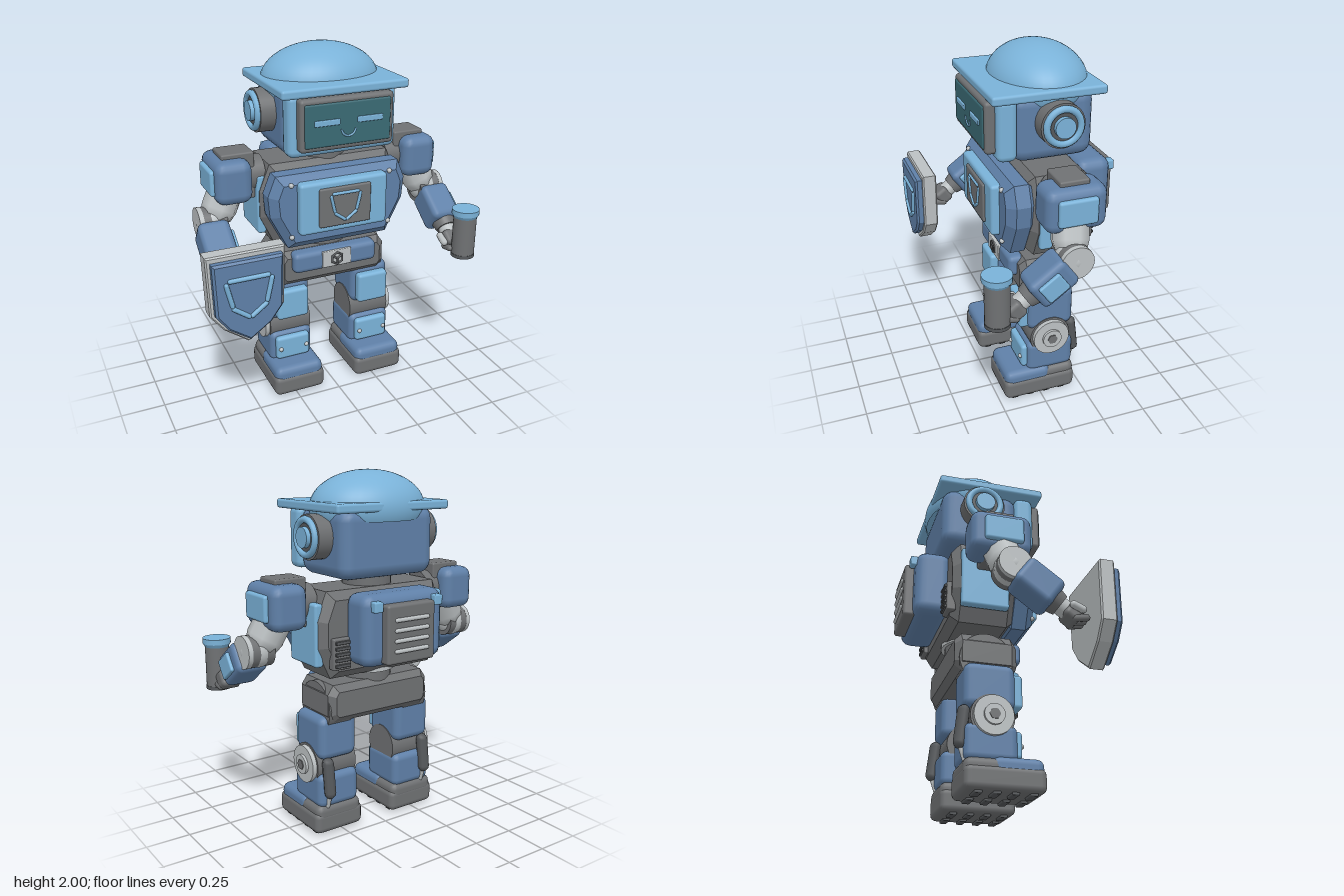
import * as THREE from 'three';
import { RoundedBoxGeometry } from 'three/addons/geometries/RoundedBoxGeometry.js';

const mat = (name, color, side = THREE.FrontSide) => {
  const m = new THREE.MeshStandardMaterial({ color, side });
  m.name = name;
  return m;
};

export function createModel() {
  const sky = mat('light blue', 0x7ab2d8, THREE.DoubleSide);
  const blue = mat('steel blue', 0x5f80a8);
  const gray = mat('gray', 0x6f7173);
  const silver = mat('silver', 0xbcc1c3);
  const teal = mat('screen teal', 0x3a6a74);
  const dark = mat('dark gray', 0x55585b);

  const root = new THREE.Group();
  root.name = 'robot';
  const body = new THREE.Group();
  body.name = 'robotBody';
  body.position.x = 0.025;
  root.add(body);

  const add = (parent, name, geo, m, x = 0, y = 0, z = 0) => {
    const mesh = new THREE.Mesh(geo, m);
    mesh.name = name;
    mesh.position.set(x, y, z);
    parent.add(mesh);
    return mesh;
  };
  // rounded box given by its min and max on each axis
  const box = (parent, name, m, x0, x1, y0, y1, z0, z1, r = 0.02) =>
    add(parent, name, new RoundedBoxGeometry(x1 - x0, y1 - y0, z1 - z0, 2, r), m,
      (x0 + x1) / 2, (y0 + y1) / 2, (z0 + z1) / 2);
  const cyl = (parent, name, m, r, h, x, y, z, axis = 'y', r2 = r, seg = 28) => {
    const g = new THREE.CylinderGeometry(r, r2, h, seg);
    if (axis === 'x') g.rotateZ(-Math.PI / 2);
    if (axis === 'z') g.rotateX(Math.PI / 2);
    return add(parent, name, g, m, x, y, z);
  };
  const ball = (parent, name, m, r, x, y, z) =>
    add(parent, name, new THREE.SphereGeometry(r, 20, 14), m, x, y, z);
  // thin round bar between two points
  const rod = (parent, name, m, a, b, r) => {
    const p = new THREE.Vector3(...a), q = new THREE.Vector3(...b);
    const mesh = add(parent, name, new THREE.CapsuleGeometry(r, p.distanceTo(q), 3, 8), m);
    mesh.position.copy(p).lerp(q, 0.5);
    mesh.quaternion.setFromUnitVectors(new THREE.Vector3(0, 1, 0), q.sub(p).normalize());
    return mesh;
  };
  // bevelled plate, outline given by its right half from top to bottom
  const plate = (parent, name, m, half, z0, z1, bevel, x = 0) => {
    const pts = [...half, ...half.filter(p => p[0] > 0).reverse().map(p => [-p[0], p[1]])];
    const g = new THREE.ExtrudeGeometry(new THREE.Shape(pts.map(p => new THREE.Vector2(...p))), {
      depth: z1 - z0 - 2 * bevel, bevelEnabled: bevel > 0, bevelSize: bevel,
      bevelThickness: bevel, bevelOffset: -bevel, bevelSegments: 1 });
    return add(parent, name, g, m, x, 0, z0 + bevel);
  };
  // shield-shaped outline of bars
  const crest = (parent, x, y, z, s, r) => {
    const line = (a, b) => rod(parent, 'crestBar', sky, [x + a[0] * s, y + a[1] * s, z], [x + b[0] * s, y + b[1] * s, z], r);
    line([-0.1, 0.11], [0.1, 0.11]);
    for (const k of [-1, 1]) {
      line([k * 0.12, 0.09], [k * 0.092, -0.03]);
      line([k * 0.085, -0.05], [k * 0.01, -0.105]);
    }
  };

  // ---- head ----
  const head = new THREE.Group();
  head.name = 'head';
  body.add(head);
  box(head, 'skull', blue, -0.3, 0.3, 1.44, 1.81, -0.315, 0.13, 0.07);
  box(head, 'faceFrame', sky, -0.31, 0.31, 1.465, 1.8, 0.11, 0.22, 0.035);
  box(head, 'faceBezel', gray, -0.267, 0.267, 1.505, 1.785, 0.2, 0.272, 0.02);
  box(head, 'screen', teal, -0.245, 0.245, 1.53, 1.76, 0.255, 0.28, 0.01);
  for (const s of [-1, 1])
    box(head, 'eye', sky, s * 0.122 - 0.073, s * 0.122 + 0.073, 1.643, 1.675, 0.272, 0.288, 0.006);
  const smile = add(head, 'smile', new THREE.TorusGeometry(0.04, 0.006, 6, 16, Math.PI), sky, 0, 1.618, 0.281);
  smile.rotation.z = Math.PI;
  box(head, 'capBrim', sky, -0.36, 0.36, 1.79, 1.84, -0.352, 0.262, 0.015);
  const dome = new THREE.SphereGeometry(1, 40, 20, 0, Math.PI * 2, 0, Math.PI * 0.6);
  dome.scale(0.335, 0.2, 0.262);
  add(head, 'capDome', dome, sky, 0, 1.8, -0.1);
  for (const s of [-1, 1]) {
    cyl(head, 'earCup', gray, 0.12, 0.1, s * 0.335, 1.66, -0.1, 'x');
    const ring = add(head, 'earRing', new THREE.TorusGeometry(0.092, 0.019, 10, 32), sky, s * 0.392, 1.66, -0.1);
    ring.rotation.y = Math.PI / 2;
    cyl(head, 'earCore', dark, 0.085, 0.03, s * 0.38, 1.66, -0.1, 'x');
    cyl(head, 'earButton', sky, 0.055, 0.06, s * 0.39, 1.66, -0.1, 'x');
  }
  cyl(body, 'neck', gray, 0.137, 0.07, 0, 1.405, -0.09);
  cyl(body, 'neckCollar', dark, 0.105, 0.1, 0, 1.42, -0.09);

  // ---- torso ----
  plate(body, 'torso', gray, [[0.355, 1.39], [0.415, 1.24], [0.415, 1.09], [0.335, 0.92]], -0.275, 0.08, 0.045);
  plate(body, 'chestPlate', blue, [[0.365, 1.36], [0.41, 1.25], [0.4, 1.13], [0.3, 0.935]], 0.03, 0.2, 0.045);
  box(body, 'chestPanel', sky, -0.26, 0.26, 1.03, 1.325, 0.16, 0.245, 0.02);
  box(body, 'chestBadge', gray, -0.153, 0.153, 1.065, 1.29, 0.2, 0.258, 0.01);
  crest(body, 0, 1.175, 0.259, 0.72, 0.009);
  for (const s of [-1, 1]) {
    for (const y of [1.315, 1.015]) ball(body, 'chestScrew', silver, 0.014, s * 0.293, y, 0.198);
    box(body, 'sidePanel', sky, s * 0.4 - 0.025, s * 0.4 + 0.025, 0.99, 1.33, -0.235, 0.03, 0.015);
    // rear vents
    box(body, 'rearVent', gray, s * 0.3 - 0.055, s * 0.3 + 0.055, 0.98, 1.15, -0.3, -0.25, 0.008);
    for (let i = 0; i < 5; i++)
      box(body, 'ventSlat', dark, s * 0.3 - 0.045, s * 0.3 + 0.045, 0.994 + i * 0.031, 1.012 + i * 0.031, -0.312, -0.29, 0.004);
  }

  // ---- backpack ----
  box(body, 'backpack', blue, -0.26, 0.26, 1, 1.385, -0.45, -0.25, 0.06);
  box(body, 'backpackPanel', gray, -0.155, 0.155, 1.02, 1.335, -0.5, -0.43, 0.015);
  for (let i = 0; i < 4; i++)
    rod(body, 'backpackSlat', silver, [-0.1, 1.09 + i * 0.055, -0.502], [0.1, 1.09 + i * 0.055, -0.502], 0.012);
  for (const s of [-1, 1])
    box(body, 'backpackClip', sky, s * 0.195 - 0.027, s * 0.195 + 0.027, 1.3, 1.355, -0.48, -0.43, 0.008);

  // ---- waist and pelvis ----
  cyl(body, 'waistRing', silver, 0.165, 0.04, 0, 0.93, -0.08);
  cyl(body, 'waist', gray, 0.145, 0.08, 0, 0.885, -0.08);
  plate(body, 'pelvis', gray, [[0.3, 0.87], [0.335, 0.82], [0.335, 0.7], [0.3, 0.66]], -0.24, 0.1, 0.035);
  box(body, 'belt', blue, -0.257, 0.257, 0.75, 0.872, 0.05, 0.145, 0.03);
  box(body, 'buckle', silver, -0.09, 0.09, 0.765, 0.863, 0.12, 0.153, 0.005);
  const hex = add(body, 'buckleHexagon', new THREE.TorusGeometry(0.036, 0.007, 6, 6), dark, 0, 0.813, 0.154);
  hex.rotation.z = Math.PI / 6;
  for (let i = 0; i < 3; i++) {
    const a = Math.PI / 6 + i * Math.PI * 2 / 3;
    rod(body, 'buckleSpoke', dark, [0, 0.813, 0.154], [0.033 * Math.cos(a), 0.813 + 0.033 * Math.sin(a), 0.154], 0.006);
  }

  // ---- legs ----
  for (const s of [-1, 1]) {
    const leg = new THREE.Group();
    leg.name = s > 0 ? 'leftLeg' : 'rightLeg';
    leg.position.x = s * 0.257;
    body.add(leg);
    cyl(leg, 'hip', gray, 0.145, 0.15, 0, 0.725, -0.075, 'x');
    box(leg, 'thigh', blue, -0.12, 0.12, 0.44, 0.69, -0.2, 0.075, 0.045);
    box(leg, 'thighPlate', sky, -0.095, 0.095, 0.46, 0.645, 0.04, 0.118, 0.02);
    cyl(leg, 'knee', gray, 0.118, 0.25, 0, 0.395, -0.055, 'x');
    cyl(leg, 'kneeCap', silver, 0.106, 0.03, s * 0.135, 0.395, -0.055, 'x');
    cyl(leg, 'kneeDisc', silver, 0.055, 0.03, s * 0.15, 0.395, -0.055, 'x');
    cyl(leg, 'kneeNut', gray, 0.03, 0.03, s * 0.155, 0.395, -0.055, 'x', 0.03, 6);
    box(leg, 'shin', blue, -0.13, 0.13, 0.16, 0.36, -0.2, 0.08, 0.04);
    box(leg, 'shinPlate', sky, -0.103, 0.103, 0.19, 0.335, 0.04, 0.108, 0.02);
    for (const k of [-1, 1]) ball(leg, 'shinScrew', silver, 0.013, k * 0.08, 0.26, 0.108);
    // calf piston
    rod(leg, 'pistonBody', dark, [s * 0.075, 0.26, -0.215], [s * 0.075, 0.425, -0.195], 0.034);
    rod(leg, 'pistonRod', silver, [s * 0.075, 0.16, -0.185], [s * 0.075, 0.25, -0.215], 0.013);
    // foot
    box(leg, 'foot', gray, -0.155, 0.155, 0.012, 0.14, -0.205, 0.22, 0.035);
    box(leg, 'heel', gray, -0.145, 0.145, 0.08, 0.18, -0.205, 0, 0.04);
    box(leg, 'toeCap', blue, -0.147, 0.147, 0.085, 0.19, -0.06, 0.213, 0.04);
    for (const k of [-1, 1]) for (let i = 0; i < 4; i++)
      box(leg, 'tread', dark, k * 0.08 - 0.05, k * 0.08 + 0.05, 0, 0.03, -0.15 + i * 0.095, -0.11 + i * 0.095, 0.006);
  }

  // ---- arms ----
  for (const s of [-1, 1]) {
    const arm = new THREE.Group();
    arm.name = s > 0 ? 'leftArm' : 'rightArm';
    body.add(arm);
    cyl(arm, 'shoulderJoint', gray, 0.1, 0.12, s * 0.43, 1.32, -0.075, 'x');
    box(arm, 'shoulderBlock', gray, s * 0.518 - 0.092, s * 0.518 + 0.092, 1.2, 1.465, -0.155, 0.005, 0.01);
    box(arm, 'shoulder', blue, s * 0.56 - 0.103, s * 0.56 + 0.103, 1.2, 1.44, -0.24, 0.09, 0.055);
    box(arm, 'shoulderPlate', sky, s * 0.665 - 0.02, s * 0.665 + 0.02, 1.25, 1.392, -0.175, 0.035, 0.015);
    rod(arm, 'upperArm', silver, [s * 0.575, 1.24, -0.065], [s * 0.62, 1.15, -0.05], 0.1);
    ball(arm, 'elbow', silver, 0.09, s * 0.665, 1.085, -0.04);
    cyl(arm, 'elbowHinge', gray, 0.087, 0.13, s * 0.665, 1.085, -0.04, 'x');
    cyl(arm, 'elbowCap', silver, 0.088, 0.025, s * 0.74, 1.085, -0.04, 'x');
    const fore = new THREE.Group();
    fore.name = 'forearmGroup';
    fore.position.set(s * 0.685, 1.085, -0.04);
    fore.rotation.x = -0.946;
    arm.add(fore);
    box(fore, 'forearm', blue, -0.088, 0.088, -0.27, -0.04, -0.088, 0.088, 0.035);
    box(fore, 'forearmPlate', sky, 0.07, 0.105, -0.23, -0.1, -0.055, 0.055, 0.01);
    cyl(fore, 'cuff', gray, 0.07, 0.05, 0, -0.285, 0, 'y', 0.058);
    cyl(fore, 'wrist', silver, 0.048, 0.06, 0, -0.325, 0);
    box(fore, 'hand', gray, -0.06, 0.06, -0.43, -0.34, -0.05, 0.05, 0.025);
    for (let i = 0; i < 3; i++) rod(fore, 'finger', gray, [-0.045 + i * 0.045, -0.41, -0.03], [-0.045 + i * 0.045, -0.45, 0.01], 0.02);
    rod(fore, 'thumb', silver, [-0.07, -0.36, 0.01], [-0.07, -0.41, 0.02], 0.021);
  }

  // ---- shield in the right hand ----
  const shield = new THREE.Group();
  shield.name = 'shield';
  shield.position.x = -0.64;
  body.add(shield);
  plate(shield, 'shieldBack', silver, [[0.21, 1.11], [0.2, 0.78], [0.13, 0.69], [0, 0.595]], 0.365, 0.45, 0.008);
  plate(shield, 'shieldFace', blue, [[0.187, 1.08], [0.178, 0.79], [0.115, 0.705], [0, 0.625]], 0.435, 0.49, 0.012);
  crest(shield, 0, 0.875, 0.492, 1, 0.013);

  // ---- torch in the left hand ----
  const torch = new THREE.Group();
  torch.name = 'torch';
  torch.position.set(0.705, 0, 0.365);
  body.add(torch);
  cyl(torch, 'torchHandle', gray, 0.066, 0.26, 0, 0.92, 0);
  cyl(torch, 'torchBase', dark, 0.068, 0.02, 0, 0.8, 0);
  cyl(torch, 'torchCap', sky, 0.078, 0.03, 0, 1.067, 0);
  cyl(torch, 'torchCollar', sky, 0.078, 0.02, 0, 1.043, 0, 'y', 0.066);

  return root;
}
